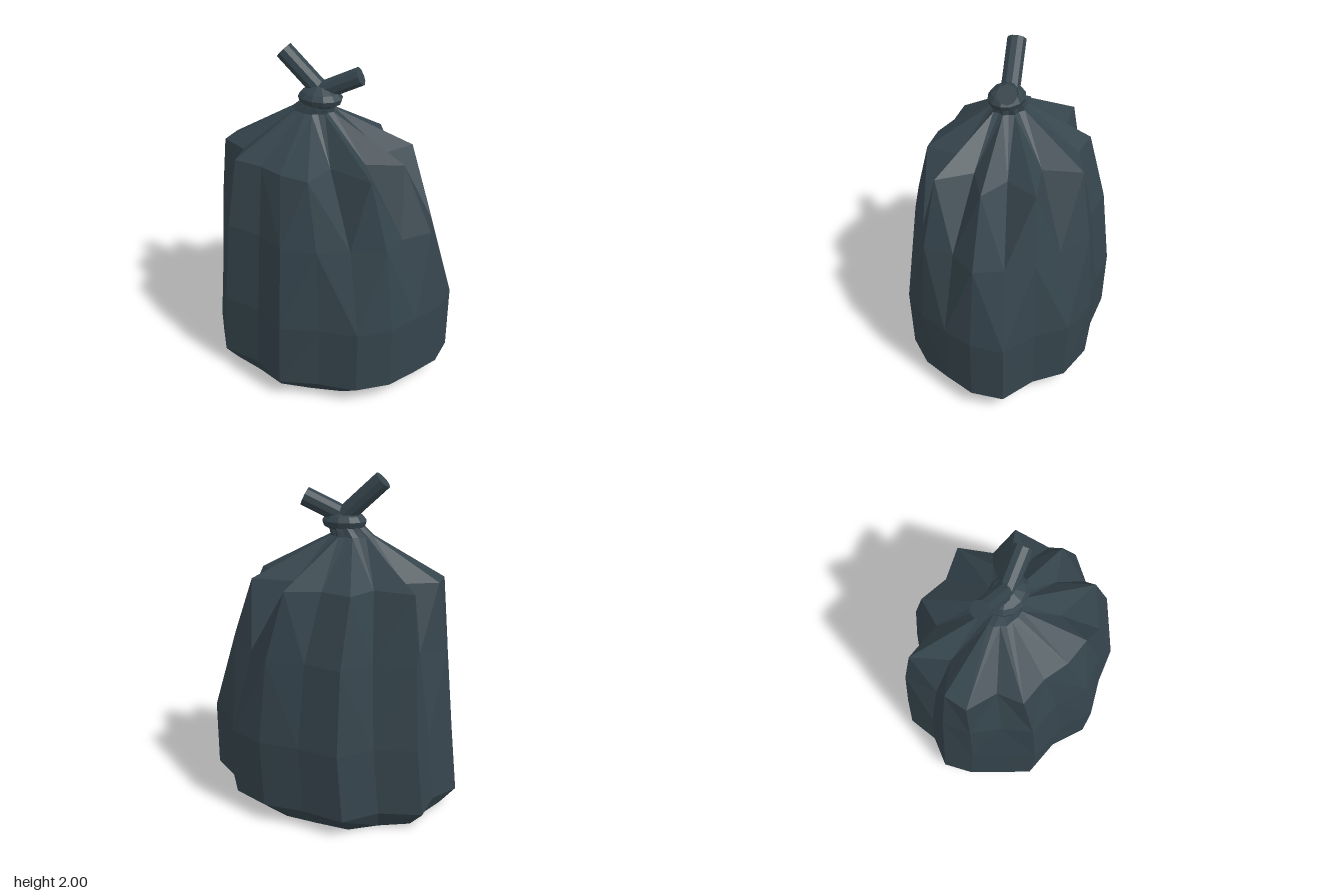
import * as THREE from 'three';

const SIDES = 20;
// radius of each fold line around the bag, from +x towards +z
const FOLDS = [1.06, 1, 1.03, 1.05, 0.99, 1.09, 0.95, 1.08, 1, 1.02,
  1.06, 0.97, 1.13, 0.98, 1.14, 1.03, 1.1, 1.1, 1, 1.11];
// how far each fold line is gathered in at the shoulder
const PLEATS = [1, 0.72, 1.1, 0.64, 1.08, 0.92, 0.98, 0.99, 0.87, 1.07,
  0.99, 0.76, 1.03, 0.85, 0.98, 0.95, 1.09, 0.68, 1.15, 0.7];

// rings: height, centre x, radius x, radius z, share of folds, share of pleats
const RINGS = [
  [0, -0.05, 0.6, 0.49, 0.5, 0],
  [0.115, 0, 0.72, 0.565, 1, 0],
  [0.52, 0.02, 0.7, 0.575, 1, 0],
  [1.01, 0, 0.64, 0.525, 1, 0.28],
  [1.4, -0.06, 0.525, 0.43, 1, 1],
  [1.64, -0.08, 0.125, 0.1, 0.6, 0.35],
  [1.69, -0.05, 0.1, 0.09, 0.4, 0.6],
  [1.74, -0.04, 0.08, 0.07, 0, 0],
];

function bagGeometry() {
  const positions = [], index = [];
  for (const [y, cx, rx, rz, fold, pleat] of RINGS) {
    for (let k = 0; k < SIDES; k++) {
      const a = (k / SIDES) * Math.PI * 2;
      const r = (1 + (FOLDS[k] - 1) * fold) * (1 + (PLEATS[k] - 1) * pleat);
      positions.push(cx + Math.cos(a) * rx * r, y, Math.sin(a) * rz * r);
    }
  }
  // diagonals alternate so each pleat ends in a V
  for (let j = 0; j < RINGS.length - 1; j++) {
    for (let k = 0; k < SIDES; k++) {
      const a = j * SIDES + k, b = j * SIDES + ((k + 1) % SIDES);
      const c = a + SIDES, d = b + SIDES;
      if (k % 2) index.push(a, c, d, a, d, b);
      else index.push(a, c, b, b, c, d);
    }
  }
  // flat bottom
  const centre = positions.length / 3;
  positions.push(-0.05, 0, 0);
  for (let k = 0; k < SIDES; k++) index.push(centre, k, (k + 1) % SIDES);

  const geometry = new THREE.BufferGeometry();
  geometry.setAttribute('position', new THREE.Float32BufferAttribute(positions, 3));
  geometry.setIndex(index);
  geometry.computeVertexNormals();
  return geometry;
}

export function createModel() {
  const group = new THREE.Group();
  group.name = 'tiedBag';
  const plastic = new THREE.MeshStandardMaterial({ color: 0x35444c, flatShading: true });

  function add(name, geometry) {
    const mesh = new THREE.Mesh(geometry, plastic);
    mesh.name = name;
    group.add(mesh);
    return mesh;
  }

  // pleated sack gathered into a neck
  add('sack', bagGeometry());

  // flattened knot around the neck
  const profile = [[0, 1.665], [0.08, 1.665], [0.125, 1.69], [0.135, 1.72], [0.11, 1.75], [0.05, 1.785], [0, 1.785]]
    .map(([r, y]) => new THREE.Vector2(r, y));
  const knot = add('knot', new THREE.LatheGeometry(profile, 12));
  knot.position.x = -0.035;
  knot.scale.z = 0.8;

  // two loose ends sticking out of the knot
  function looseEnd(name, from, to) {
    const start = new THREE.Vector3(...from), end = new THREE.Vector3(...to);
    const direction = end.clone().sub(start);
    const mesh = add(name, new THREE.CylinderGeometry(0.056, 0.056, direction.length(), 10));
    mesh.position.copy(start).add(end).multiplyScalar(0.5);
    mesh.quaternion.setFromUnitVectors(new THREE.Vector3(0, 1, 0), direction.normalize());
  }
  looseEnd('longEnd', [-0.01, 1.72, -0.02], [-0.265, 1.96, 0.005]);
  looseEnd('shortEnd', [-0.04, 1.745, -0.01], [0.187, 1.855, -0.06]);

  return group;
}
